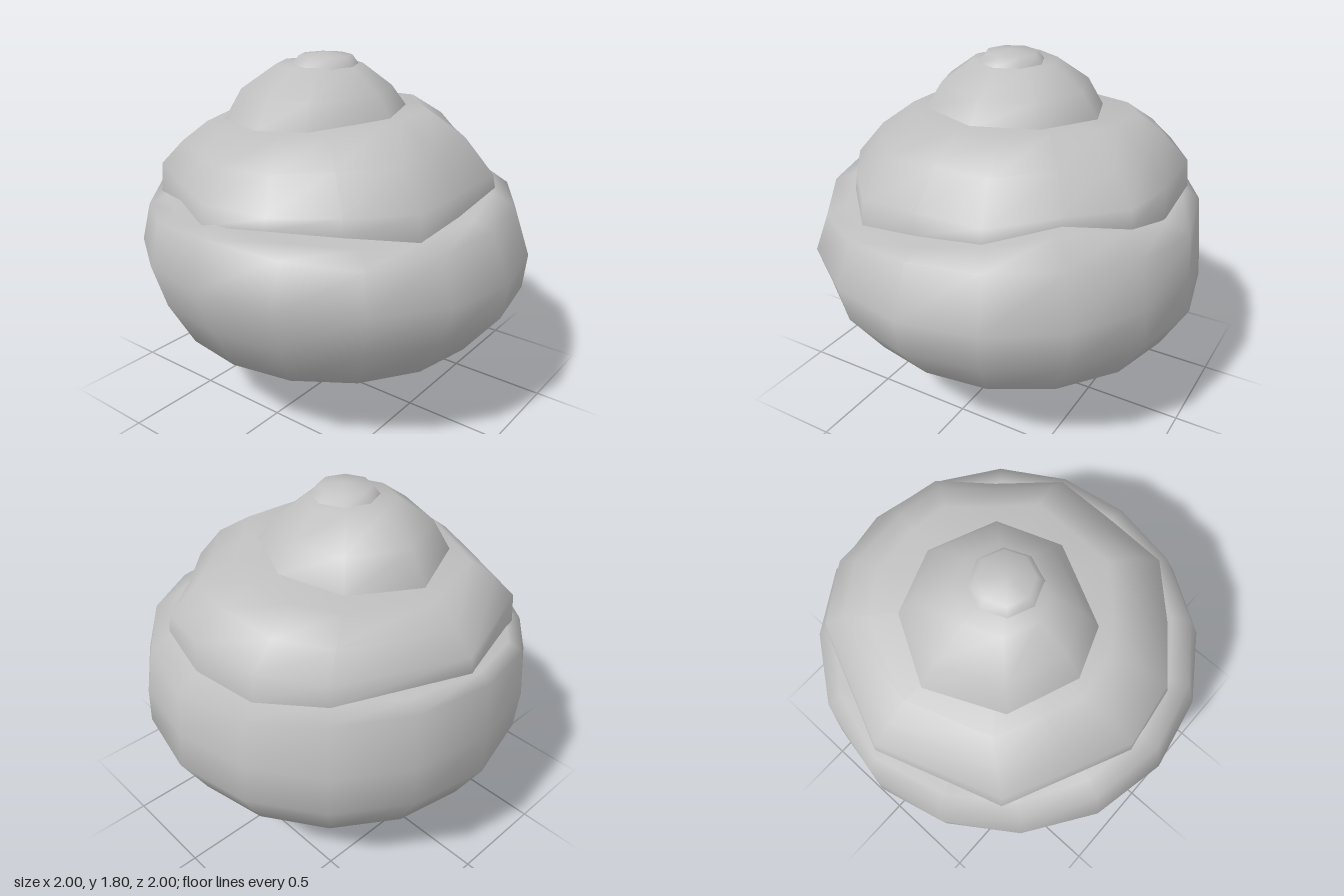
import * as THREE from 'three';

const V = (x, y, z) => new THREE.Vector3(x, y, z);

// Skin through rings of equal count (ordered bottom to top), closed by optional end points
function loft(rings, bottom, top) {
  const n = rings[0].length, pos = [], index = [];
  rings.flat().forEach(p => pos.push(p.x, p.y, p.z));
  for (let r = 0; r < rings.length - 1; r++) {
    for (let i = 0; i < n; i++) {
      const a = r * n + i, b = r * n + (i + 1) % n;
      index.push(a, a + n, b, b, a + n, b + n);
    }
  }
  const cap = (p, start, up) => {
    const c = pos.length / 3;
    pos.push(p.x, p.y, p.z);
    for (let i = 0; i < n; i++) {
      const a = start + i, b = start + (i + 1) % n;
      if (up) index.push(a, c, b); else index.push(a, b, c);
    }
  };
  if (bottom) cap(bottom, 0, false);
  if (top) cap(top, (rings.length - 1) * n, true);
  const g = new THREE.BufferGeometry();
  g.setAttribute('position', new THREE.Float32BufferAttribute(pos, 3));
  g.setIndex(index);
  g.computeVertexNormals();
  return g;
}

// Ring from radii and heights at evenly spaced directions, starting at +x and turning to +z
function polarRing(radii, heights, sides = 16) {
  const at = (list, t) => {
    const k = t * list.length, i = Math.floor(k);
    return THREE.MathUtils.lerp(list[i % list.length], list[(i + 1) % list.length], k - i);
  };
  return Array.from({ length: sides }, (_, i) => {
    const t = i / sides, a = t * Math.PI * 2, r = at(radii, t);
    return V(Math.cos(a) * r, at(heights, t), Math.sin(a) * r);
  });
}

// Copy of a rim, scaled about (cx, cz), shifted in x, with a height rule
const inset = (rim, cx, cz, s, dx, height) => rim.map(p => {
  const x = cx + dx + (p.x - cx) * s, z = cz + (p.z - cz) * s;
  return V(x, height(x, z), z);
});

export function createModel() {
  const group = new THREE.Group();
  const grey = new THREE.MeshStandardMaterial({ color: 0xc0c0c0, side: THREE.DoubleSide });
  grey.name = 'grey';
  const add = (name, geometry) => {
    const m = new THREE.Mesh(geometry, grey);
    m.name = name;
    group.add(m);
    return m;
  };

  // Trunk
  add('trunk', new THREE.CylinderGeometry(0.09, 0.107, 0.4, 10)).position.set(0.01, 0.2, -0.005);

  // Wide lower foliage, with its lowest point off centre
  add('lowerFoliage', loft([
    polarRing([0.79, 0.79, 0.87, 0.87], [0.43]),
    polarRing([0.97, 0.91, 1, 1], [0.66]),
    polarRing([1, 1, 0.99, 0.98], [0.84, 0.89, 0.86, 0.84]),
    polarRing([0.9, 0.93, 0.94, 0.95, 0.98, 0.95, 0.96, 0.92],
      [1.08, 1.05, 1.12, 1.06, 1.16, 1.12, 1.06, 1.1]),
    polarRing([0.8, 0.82, 0.84, 0.87, 0.92, 0.87, 0.85, 0.78],
      [1.11, 1.1, 1.15, 1.1, 1.19, 1.17, 1.12, 1.2]),
    polarRing([0.55], [1.12, 1.12, 1.15, 1.12, 1.18, 1.17, 1.17, 1.2]),
  ], V(0.3, 0.2, -0.3), V(0, 1.18, 0)));

  // Middle foliage with a wavy rim
  const midRim = [
    [0.75, 1.13, 0.05], [0.74, 1.1, 0.36], [0.5, 1.14, 0.6], [0.24, 1.17, 0.8],
    [-0.09, 1.13, 0.85], [-0.36, 1.16, 0.73], [-0.69, 1.1, 0.57], [-0.9, 1.19, -0.03],
    [-0.64, 1.18, -0.63], [-0.36, 1.15, -0.82], [0.02, 1.12, -0.84], [0.3, 1.18, -0.79],
    [0.5, 1.22, -0.55], [0.75, 1.18, -0.3],
  ].map(p => V(...p));
  add('middleFoliage', loft([
    midRim,
    inset(midRim, -0.075, 0, 0.985, 0, (x, z) => 1.25 - 0.02 * x - 0.03 * z),
    inset(midRim, -0.075, 0, 0.84, -0.02, (x, z) => 1.39 + 0.03 * x - 0.03 * z),
    inset(midRim, -0.075, 0, 0.66, -0.05, (x, z) => 1.5 + 0.07 * x - 0.03 * z),
  ], null, V(-0.08, 1.49, 0)));

  // Upper foliage
  const topRim = [
    [0.34, 1.52, 0.02], [0.15, 1.5, 0.4], [-0.09, 1.49, 0.49], [-0.42, 1.475, 0.36],
    [-0.58, 1.47, 0], [-0.4, 1.48, -0.32], [-0.09, 1.505, -0.43], [0.23, 1.52, -0.29],
  ].map(p => V(...p));
  add('upperFoliage', loft([
    topRim,
    inset(topRim, -0.07, 0.02, 0.82, 0, () => 1.625),
    inset(topRim, -0.07, 0.02, 0.47, 0, () => 1.74),
  ], null, V(-0.05, 1.75, 0.02)));

  // Small cap at the tip
  const tip = polarRing([0.17], [1.735], 8);
  tip.forEach(p => p.add(V(-0.05, 0, 0.02)));
  add('tip', loft([tip, inset(tip, -0.04, 0.02, 0.77, 0, () => 1.785)], null, V(-0.04, 1.8, 0.02)));

  return group;
}
